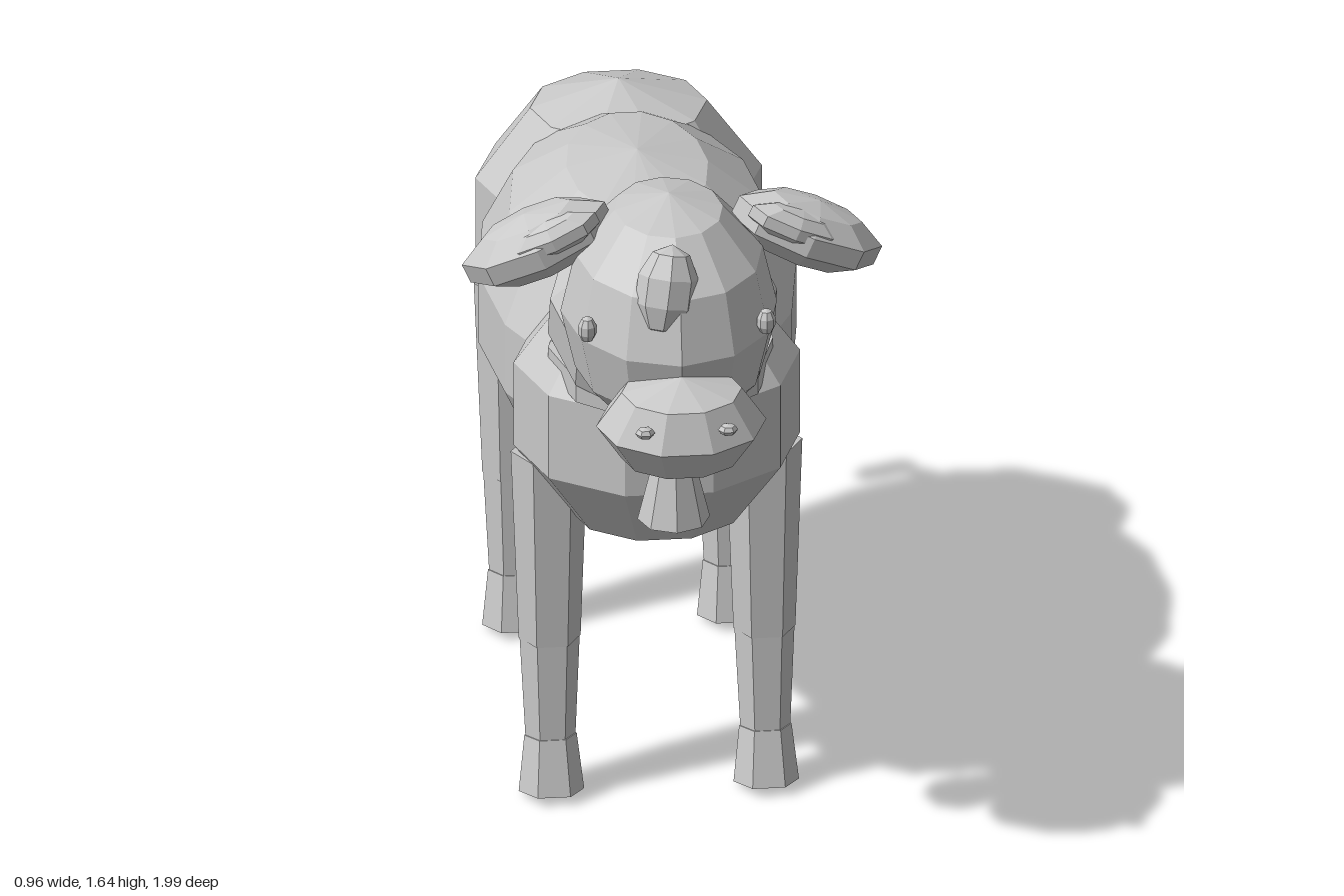
import * as THREE from 'three';

export function createModel() {
  const model = new THREE.Group();
  const grey = new THREE.MeshStandardMaterial({ color: 0xc8c8c8, flatShading: true });
  grey.name = 'light grey';
  const MID = -0.008; // the body sits just off the centre line of the ears

  function add(name, geometry, parent = model) {
    const mesh = new THREE.Mesh(geometry, grey);
    mesh.name = name;
    parent.add(mesh);
    return mesh;
  }

  // Faceted ellipsoid with its poles up and down
  function blob(name, [x, y, z], [rx, ry, rz], sides = 10, rings = 5, parent = model) {
    const mesh = add(name, new THREE.SphereGeometry(1, sides, rings).scale(rx, ry, rz), parent);
    mesh.position.set(x, y, z);
    return mesh;
  }

  // Tapered prism from a lower point to an upper point
  function limb(name, low, high, rLow, rHigh, sides = 6, parent = model) {
    const a = new THREE.Vector3(...low), b = new THREE.Vector3(...high);
    const dir = b.clone().sub(a);
    const geometry = new THREE.CylinderGeometry(rHigh, rLow, dir.length(), sides, 1, false, Math.PI / 2);
    const mesh = add(name, geometry, parent);
    mesh.position.copy(a).add(b).multiplyScalar(0.5);
    mesh.quaternion.setFromUnitVectors(new THREE.Vector3(0, 1, 0), dir.normalize());
    return mesh;
  }

  // Trunk
  blob('barrel', [MID, 0.993, -0.17], [0.374, 0.387, 0.62], 14, 7);
  blob('rump', [MID, 1.0, -0.6], [0.345, 0.345, 0.3]);
  blob('chest', [MID, 0.975, 0.285], [0.345, 0.34, 0.315]);

  // Neck leaning forward
  const neckProfile = [[0, -0.01], [0.25, 0], [0.26, 0.02], [0.26, 0.145], [0.2, 0.22], [0, 0.25]];
  const neck = add('neck', new THREE.LatheGeometry(
    neckProfile.map(([r, h]) => new THREE.Vector2(r, h)), 10, Math.PI / 2));
  neck.position.set(MID, 1.187, 0.38);
  neck.rotation.x = 0.45;

  // Collar and bell
  const collar = add('collar', new THREE.CylinderGeometry(0.258, 0.258, 0.06, 10, 1, false, Math.PI / 2));
  collar.position.set(MID, 1.13, 0.37);
  collar.rotation.x = 0.06;
  limb('bellStrap', [MID, 1.01, 0.67], [MID, 1.14, 0.67], 0.016, 0.016);
  limb('bell', [MID, 0.865, 0.675], [MID, 1.025, 0.675], 0.083, 0.044, 8);
  blob('bellClapper', [MID, 0.853, 0.675], [0.02, 0.022, 0.02], 6, 4);

  // Head
  blob('head', [MID, 1.348, 0.56], [0.248, 0.288, 0.312], 12, 6);
  const muzzle = blob('muzzle', [MID, 1.195, 0.85], [0.195, 0.123, 0.15], 10, 4);
  muzzle.rotation.x = 0.1;
  const forelock = blob('forelock', [-0.035, 1.5, 0.785], [0.073, 0.108, 0.06], 8, 5);
  forelock.rotation.set(-0.25, 0, -0.15);

  for (const side of [-1, 1]) {
    const label = side > 0 ? 'left' : 'right';
    blob(label + 'Eye', [MID + side * 0.205, 1.39, 0.745], [0.022, 0.033, 0.022], 8, 5);
    blob(label + 'Nostril', [MID + side * 0.095, 1.235, 0.975], [0.023, 0.014, 0.02], 6, 4);

    // Drooping ear with a raised inner pad
    const ear = new THREE.Group();
    ear.name = label + 'Ear';
    ear.position.set(side * 0.308 + 0.004, 1.502, 0.515);
    ear.rotation.z = side * -0.42;
    model.add(ear);
    blob('earShell', [0, 0, 0], [0.188, 0.08, 0.1], 8, 5, ear);
    blob('earPad', [-side * 0.04, 0.02, 0.048], [0.12, 0.045, 0.05], 8, 5, ear);
  }

  // Legs: thigh, shank and flared hoof
  const legs = [
    ['front', 0.278, 0.29, 0.31, 0.332],
    ['back', -0.575, -0.55, -0.53, -0.512],
  ];
  for (const [end, zTop, zKnee, zAnkle, zFoot] of legs) {
    for (const side of [-1, 1]) {
      const leg = new THREE.Group();
      leg.name = end + (side > 0 ? 'Left' : 'Right') + 'Leg';
      model.add(leg);
      const x = MID + side * 0.246;
      limb('upperLeg', [x, 0.38, zKnee], [x, 0.85, zTop], 0.071, 0.088, 6, leg);
      limb('lowerLeg', [x, 0.13, zAnkle], [x, 0.385, zKnee], 0.057, 0.069, 6, leg);
      limb('hoof', [x, 0.009, zFoot], [x, 0.14, zAnkle], 0.075, 0.06, 6, leg);
    }
  }

  // Tail and its tuft
  limb('tail', [MID, 0.9, -0.965], [MID, 1.05, -0.84], 0.014, 0.02);
  blob('tailTuft', [MID, 0.855, -0.966], [0.038, 0.096, 0.038], 6, 3);

  return model;
}
